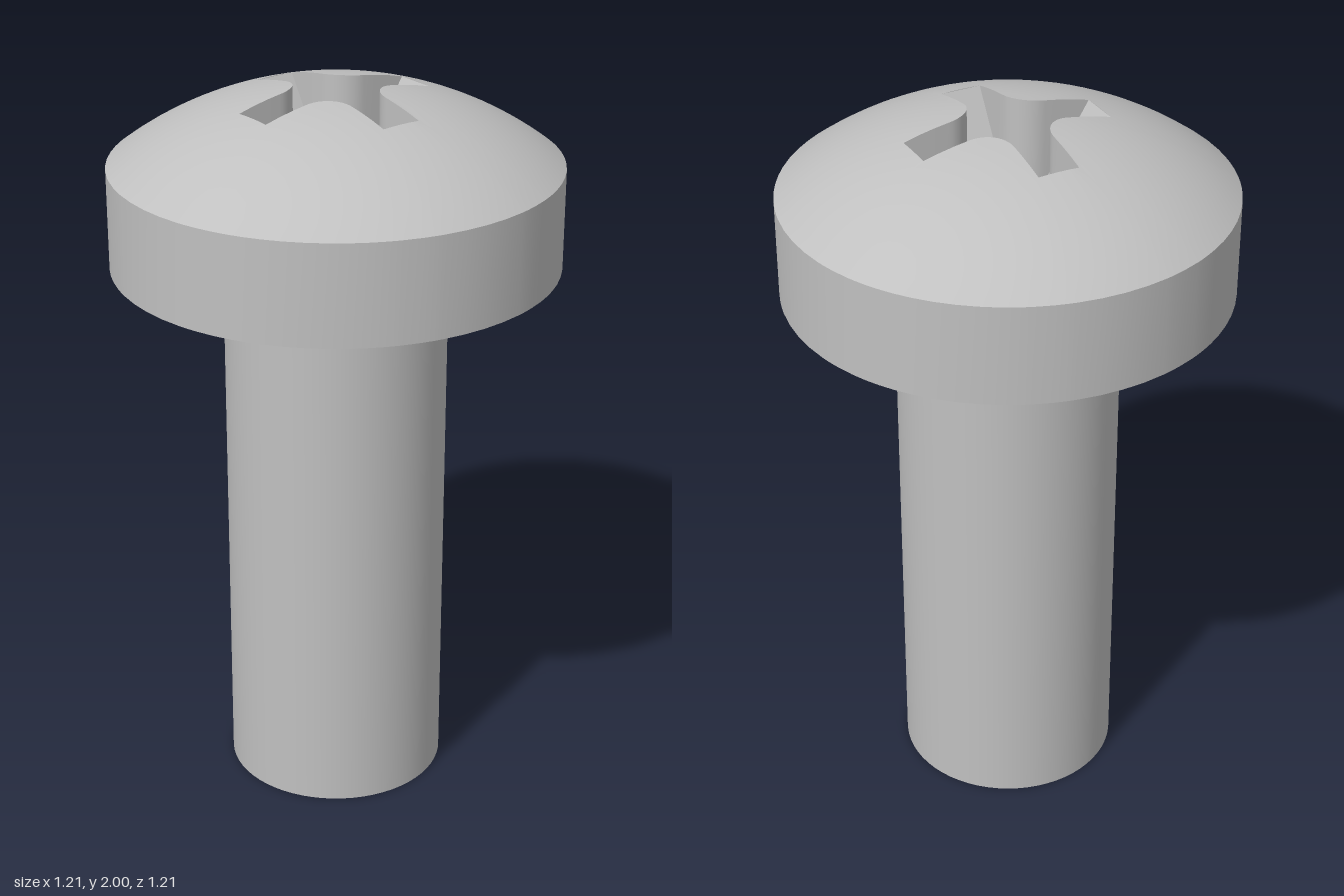
import * as THREE from 'three';
import { mergeGeometries, toCreasedNormals } from 'three/addons/utils/BufferGeometryUtils.js';

const HEAD_R = 0.605, HEAD_BOTTOM = 1.525, RIM_Y = 1.8;
const SHAFT_R = 0.303;
const DOME_R = 0.9876, DOME_CENTRE = 1.0194;
const ARM_LENGTH = 0.268, ARM_HALF = 0.057, FLOOR_HALF = 0.081, FLOOR_Y = 1.67;

const domeY = (r) => DOME_CENTRE + Math.sqrt(DOME_R * DOME_R - r * r);
const TIP_Y = domeY(Math.hypot(ARM_LENGTH, ARM_HALF));

// Height of the recess floor: flat in the middle, rising to the arm tips
function recessY(x, y) {
  const u = Math.max(Math.abs(x), Math.abs(y));
  const t = Math.max(0, (u - FLOOR_HALF) / (ARM_LENGTH - FLOOR_HALF));
  return FLOOR_Y + t * (TIP_Y - FLOOR_Y);
}

// Plan outline of one arm, from inner corner round the tip to the other inner corner
function armOutline() {
  const c = (FLOOR_HALF - ARM_HALF * Math.SQRT1_2) / (1 - Math.SQRT1_2);
  const r = c - ARM_HALF;
  const upper = [];
  for (let i = 0; i <= 2; i++) upper.push(new THREE.Vector2(ARM_LENGTH, (ARM_HALF * i) / 2));
  for (let i = 1; i <= 3; i++) upper.push(new THREE.Vector2(THREE.MathUtils.lerp(ARM_LENGTH, c, i / 3), ARM_HALF));
  for (let i = 1; i <= 6; i++) {
    const a = -Math.PI / 2 - (i / 6) * (Math.PI / 4);
    upper.push(new THREE.Vector2(c + r * Math.cos(a), c + r * Math.sin(a)));
  }
  const lower = upper.slice(1).reverse().map((p) => new THREE.Vector2(p.x, -p.y));
  return [...lower, ...upper];
}

// Strip of faces between two closed rings of points
function loft(a, b) {
  const pos = [];
  a.forEach((p, i) => {
    const j = (i + 1) % a.length;
    for (const v of [p, a[j], b[j], p, b[j], b[i]]) pos.push(v.x, v.y, v.z);
  });
  const g = new THREE.BufferGeometry();
  g.setAttribute('position', new THREE.Float32BufferAttribute(pos, 3));
  g.computeVertexNormals();
  return g;
}

// Flat plan polygon laid down at the recess floor height
function floorPatch(points) {
  const g = new THREE.ShapeGeometry(new THREE.Shape(points));
  const p = g.attributes.position;
  for (let i = 0; i < p.count; i++) {
    const x = p.getX(i), y = p.getY(i);
    p.setXYZ(i, x, recessY(x, y), -y);
  }
  g.computeVertexNormals();
  return g;
}

export function createModel() {
  const screw = new THREE.Group();
  screw.name = 'screw';
  const steel = new THREE.MeshStandardMaterial({ color: 0xc0c0c0 });
  steel.name = 'steel grey';
  const add = (name, geometry, parent) => {
    const mesh = new THREE.Mesh(geometry, steel);
    mesh.name = name;
    parent.add(mesh);
  };

  // Shaft
  const shaft = new THREE.CylinderGeometry(SHAFT_R, SHAFT_R, HEAD_BOTTOM, 64);
  shaft.translate(0, HEAD_BOTTOM / 2, 0);
  add('shaft', shaft, screw);

  // Head, turned so the cross recess sits at an angle
  const head = new THREE.Group();
  head.name = 'head';
  head.rotation.y = Math.PI / 8;
  screw.add(head);

  const arm = armOutline();
  const arms = [0, 1, 2, 3].map((k) =>
    arm.map((p) => p.clone().rotateAround(new THREE.Vector2(), (k * Math.PI) / 2)));
  const cross = arms.flatMap((pts) => pts.slice(0, -1));
  const circle = (r, y) => cross.map((p) => {
    const a = p.angle();
    return new THREE.Vector3(r * Math.cos(a), y, -r * Math.sin(a));
  });

  // Domed top: rings run from the recess outline to the round rim
  const STEPS = 12;
  const domeRing = (t) => cross.map((p) => {
    const r = THREE.MathUtils.lerp(p.length(), HEAD_R, t), a = p.angle();
    return new THREE.Vector3(r * Math.cos(a), domeY(r), -r * Math.sin(a));
  });
  const bands = [];
  for (let i = 0; i < STEPS; i++) bands.push(loft(domeRing((i + 1) / STEPS), domeRing(i / STEPS)));
  add('dome', toCreasedNormals(mergeGeometries(bands), 0.5), head);

  // Head side and underside
  const rimTop = circle(HEAD_R, RIM_Y), rimBottom = circle(HEAD_R, HEAD_BOTTOM);
  add('headSide', toCreasedNormals(loft(rimBottom, rimTop), 0.5), head);
  add('headUnderside', loft(circle(SHAFT_R - 0.01, HEAD_BOTTOM), rimBottom), head);

  // Cross recess: upright walls, four sloping arms, square floor
  const wallBottom = cross.map((p) => new THREE.Vector3(p.x, recessY(p.x, p.y), -p.y));
  add('recessWalls', toCreasedNormals(loft(domeRing(0), wallBottom), 0.5), head);
  arms.forEach((pts) => add('recessSlope', floorPatch(pts), head));
  add('recessFloor', floorPatch(arms.map((pts) => pts[0])), head);

  return screw;
}
